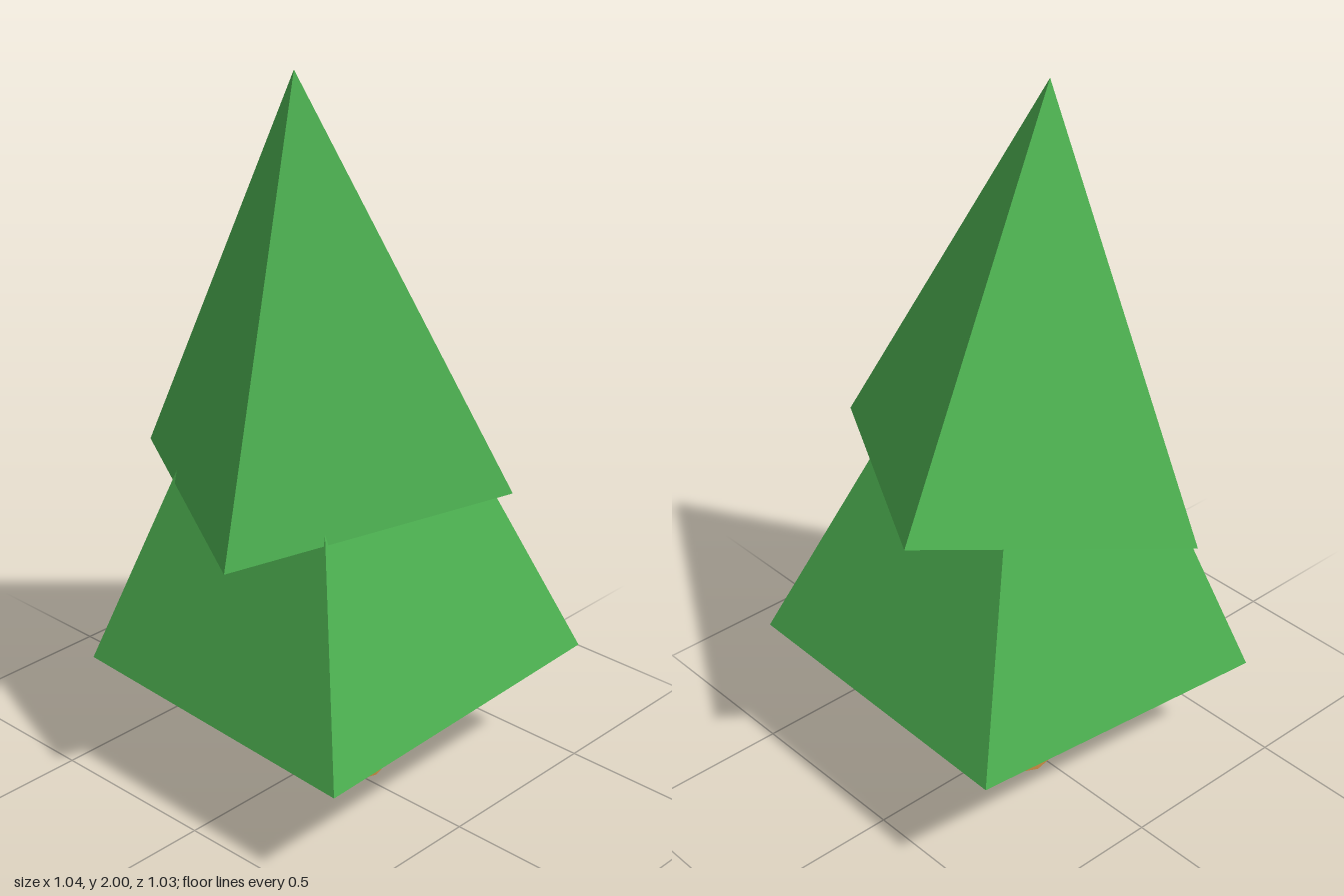
import * as THREE from 'three';

const leaf = new THREE.MeshStandardMaterial({ color: 0x4caf50, flatShading: true });
const bark = new THREE.MeshStandardMaterial({ color: 0xc68c42, flatShading: true });

// Leaning four-sided pyramid; corners run counter-clockwise seen from above
function pyramid(name, apex, corners) {
  const tris = [];
  for (let i = 0; i < 4; i++) tris.push(corners[i], corners[(i + 1) % 4], apex);
  tris.push(corners[0], corners[2], corners[1], corners[0], corners[3], corners[2]);
  const geo = new THREE.BufferGeometry();
  geo.setAttribute('position', new THREE.Float32BufferAttribute(tris.flat(), 3));
  geo.computeVertexNormals();
  const mesh = new THREE.Mesh(geo, leaf);
  mesh.name = name;
  return mesh;
}

export function createModel() {
  const tree = new THREE.Group();
  tree.name = 'tree';

  // Trunk, tilted slightly forward, its top hidden in the lower foliage
  const lean = new THREE.Vector3(0.016, 1, 0.069).normalize();
  const geo = new THREE.CylinderGeometry(0.16, 0.16, 0.37, 10);
  geo.rotateY(THREE.MathUtils.degToRad(13));
  geo.translate(0, 0.185, 0);
  const trunk = new THREE.Mesh(geo, bark);
  trunk.name = 'trunk';
  trunk.quaternion.setFromUnitVectors(new THREE.Vector3(0, 1, 0), lean);
  trunk.position.set(0.017, 0.012, -0.04);
  tree.add(trunk);

  // Two foliage tiers, turned and tilted against each other
  tree.add(pyramid('lowerFoliage', [-0.02, 1.73, 0.02], [
    [-0.465, 0.32, 0.433], [0.48, 0.305, 0.468], [0.515, 0.37, -0.472], [-0.43, 0.385, -0.505],
  ]));
  tree.add(pyramid('upperFoliage', [0.01, 2, 0.115], [
    [-0.522, 0.87, 0.145], [0.15, 0.83, 0.515], [0.522, 0.945, -0.147], [-0.15, 0.985, -0.517],
  ]));
  return tree;
}
